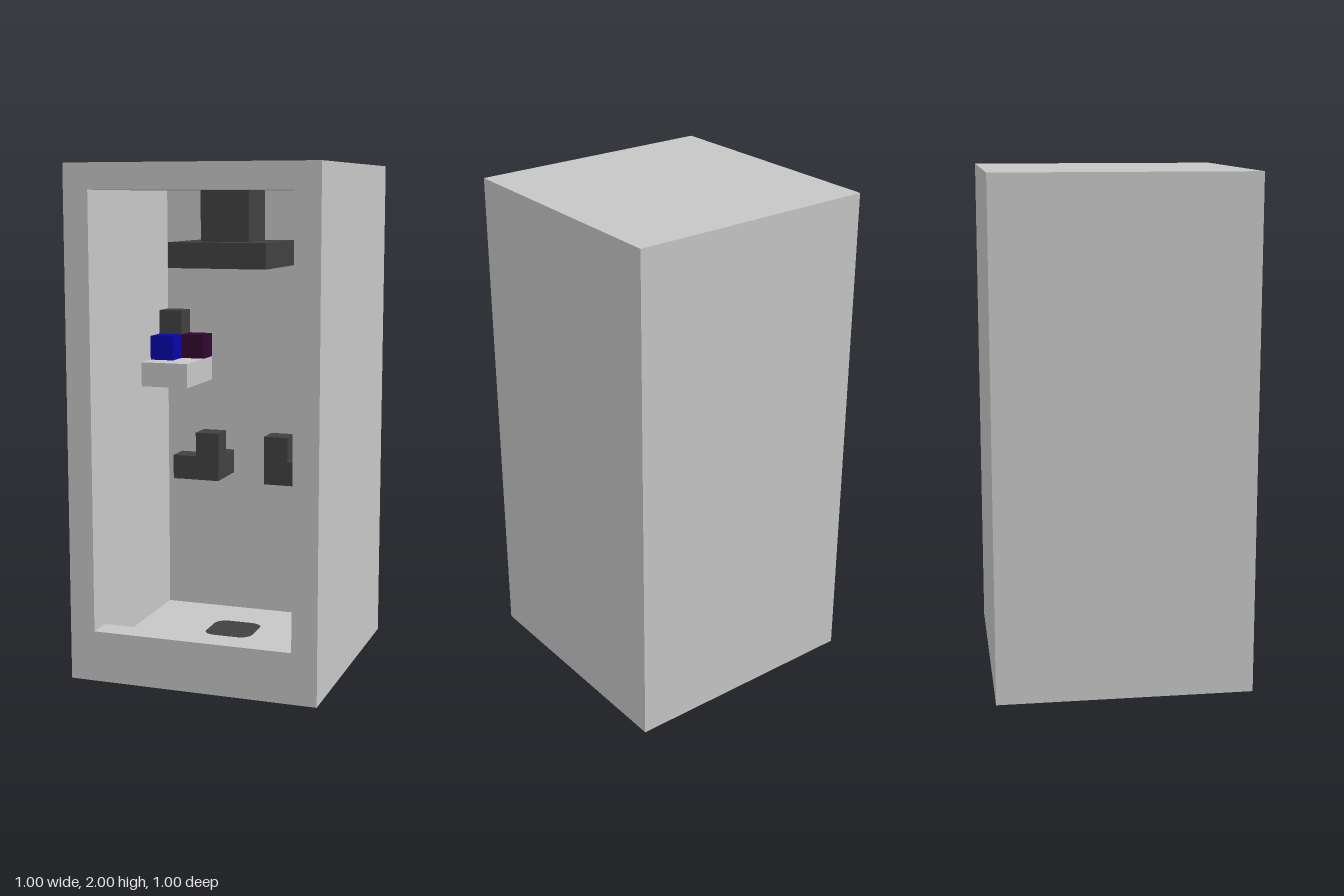
import * as THREE from 'three';

const paint = (name, color) => Object.assign(new THREE.MeshStandardMaterial({ color }), { name });

export function createModel() {
  const group = new THREE.Group();
  const grey = paint('cabin grey', 0xc6c6c6);
  const dark = paint('dark fittings', 0x404040);
  const blue = paint('soap blue', 0x0505aa);
  const purple = paint('bottle purple', 0x330630);

  const add = (name, geometry, material, parent = group) => {
    const mesh = new THREE.Mesh(geometry, material);
    mesh.name = name;
    parent.add(mesh);
    return mesh;
  };
  // Box given by its lower and upper limits on each axis
  const box = (name, material, [x0, x1], [y0, y1], [z0, z1], parent) => {
    const g = new THREE.BoxGeometry(x1 - x0, y1 - y0, z1 - z0);
    g.translate((x0 + x1) / 2, (y0 + y1) / 2, (z0 + z1) / 2);
    return add(name, g, material, parent);
  };
  // Plan outline (x, -z) raised from y0 to y1
  const raise = (shape, y0, y1) => new THREE.ExtrudeGeometry(shape, {
    depth: y1 - y0, bevelEnabled: false, curveSegments: 4,
  }).rotateX(-Math.PI / 2).translate(0, y0, 0);
  const plan = (points) => new THREE.Shape(points.map(([x, z]) => new THREE.Vector2(x, -z)));

  // Cabin: U-shaped walls, roof, front sill
  const walls = plan([[-0.5, 0.5], [-0.4, 0.5], [-0.4, -0.3], [0.4, -0.3],
    [0.4, 0.5], [0.5, 0.5], [0.5, -0.5], [-0.5, -0.5]]);
  add('walls', raise(walls, 0.1, 1.9), grey);
  box('roof', grey, [-0.5, 0.5], [1.9, 2], [-0.5, 0.5]);
  box('sill', grey, [-0.4, 0.4], [0.1, 0.2], [0.4, 0.5]);

  // Floor slab with a rounded drain set through it
  const rounded = (path, h, r) => {
    path.moveTo(h, h - r);
    for (let i = 0; i < 4; i++) {
      const a = i * Math.PI / 2;
      const cx = (i === 0 || i === 3 ? 1 : -1) * (h - r);
      const cy = (i < 2 ? 1 : -1) * (h - r);
      path.absarc(cx, cy, r, a, a + Math.PI / 2, false);
    }
    path.closePath();
    return path;
  };
  const slab = plan([[-0.5, 0.5], [0.5, 0.5], [0.5, -0.5], [-0.5, -0.5]]);
  slab.holes.push(rounded(new THREE.Path(), 0.1, 0.05));
  add('floor', raise(slab, 0, 0.1), grey);
  add('drain', raise(rounded(new THREE.Shape(), 0.1, 0.05), 0, 0.1), dark);

  // Shower head hanging from the roof
  box('showerPipe', dark, [-0.1, 0.1], [1.7, 1.9], [-0.1, 0.1]);
  box('showerHead', dark, [-0.2, 0.2], [1.6, 1.7], [-0.2, 0.2]);

  // Corner shelf with toiletries
  box('shelf', grey, [-0.4, -0.2], [1.1, 1.2], [-0.3, 0]);
  box('soap', blue, [-0.4, -0.3], [1.2, 1.3], [-0.2, -0.1]);
  box('smallBottle', purple, [-0.3, -0.2], [1.2, 1.3], [-0.3, -0.2]);
  box('tallBottle', dark, [-0.4, -0.3], [1.2, 1.4], [-0.3, -0.2]);

  // Mirrored pair of taps on the back wall
  for (const s of [-1, 1]) {
    const tap = new THREE.Group();
    tap.name = s < 0 ? 'rightTap' : 'leftTap';
    group.add(tap);
    const span = (a, b) => (s < 0 ? [-b, -a] : [a, b]);
    box('tapStem', dark, span(0.1, 0.2), [0.7, 0.8], [-0.3, -0.2], tap);
    box('tapUpright', dark, span(0.1, 0.2), [0.7, 0.9], [-0.2, -0.1], tap);
    box('tapArm', dark, span(0.2, 0.3), [0.7, 0.8], [-0.2, -0.1], tap);
  }
  return group;
}
